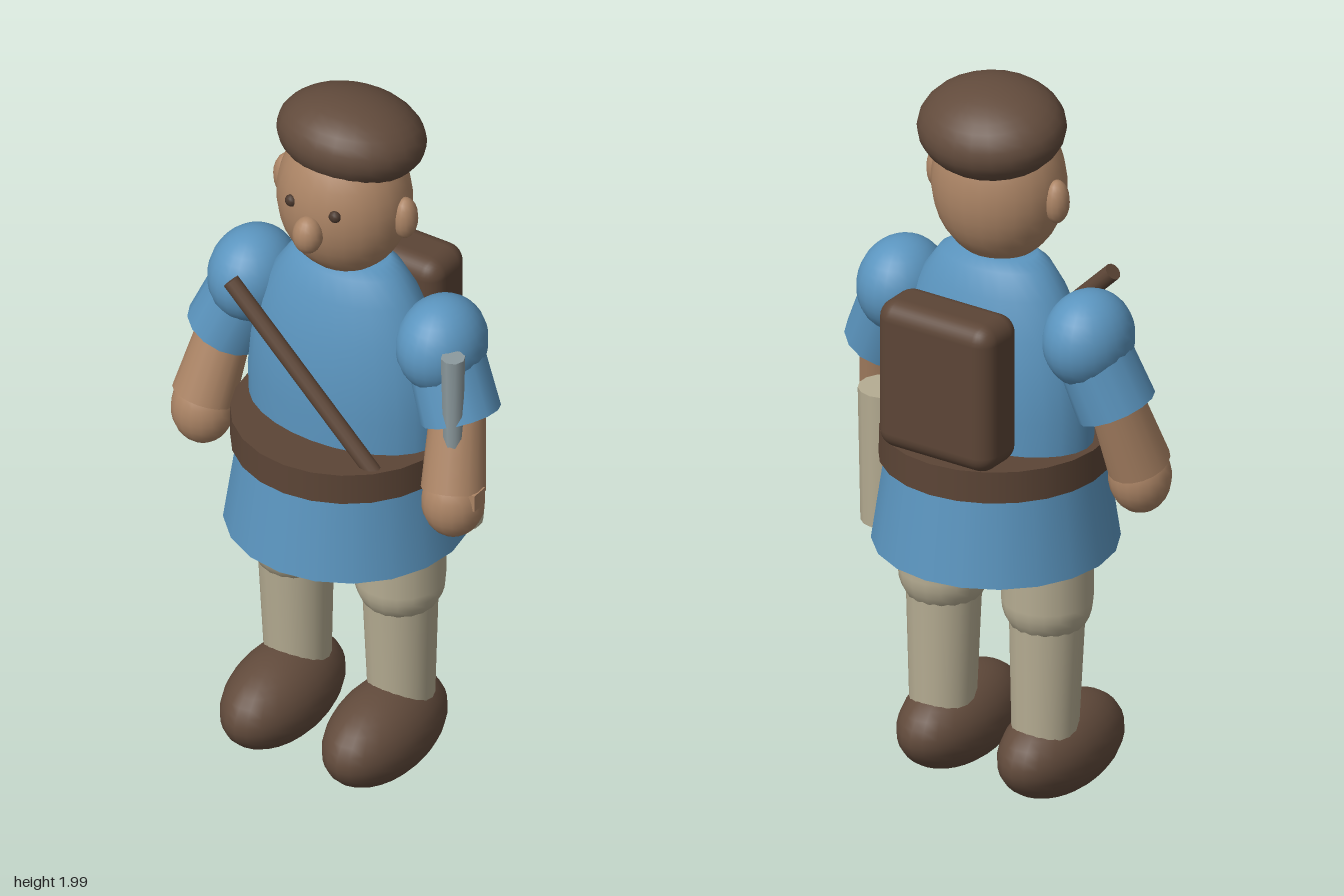
import * as THREE from 'three';
import { RoundedBoxGeometry } from 'three/addons/geometries/RoundedBoxGeometry.js';

const mat = (name, color, side = THREE.FrontSide) => {
  const m = new THREE.MeshStandardMaterial({ color, side });
  m.name = name;
  return m;
};

export function createModel() {
  const model = new THREE.Group();
  model.name = 'traveller';
  const blue = mat('blue cloth', 0x5b95bf, THREE.DoubleSide);
  const skin = mat('skin', 0xab8465);
  const brown = mat('brown felt', 0x624b3c);
  const leather = mat('leather', 0x5c4536);
  const cream = mat('cream linen', 0xb5ac92);
  const steel = mat('steel', 0x8c9a9e);
  const dark = mat('dark eyes', 0x4a382d);

  const add = (name, geo, material, x = 0, y = 0, z = 0) => {
    const mesh = new THREE.Mesh(geo, material);
    mesh.name = name;
    mesh.position.set(x, y, z);
    model.add(mesh);
    return mesh;
  };
  const ellipsoid = (name, material, [x, y, z], [rx, ry, rz], seg = 24) =>
    add(name, new THREE.SphereGeometry(1, seg, Math.ceil(seg * 0.67)).scale(rx, ry, rz), material, x, y, z);
  // Tapered cylinder between two points
  const limb = (name, material, a, b, ra, rb, seg = 18, open = false) => {
    const A = new THREE.Vector3(...a), B = new THREE.Vector3(...b);
    const dir = A.clone().sub(B);
    const mesh = add(name, new THREE.CylinderGeometry(ra, rb, dir.length(), seg, 1, open), material);
    mesh.position.copy(A).add(B).multiplyScalar(0.5);
    mesh.quaternion.setFromUnitVectors(new THREE.Vector3(0, 1, 0), dir.normalize());
    return mesh;
  };

  // Head and cap
  ellipsoid('head', skin, [0, 1.71, 0.015], [0.18, 0.215, 0.165]);
  ellipsoid('cap', brown, [0, 1.878, -0.018], [0.2, 0.118, 0.178]).rotation.x = -0.2;
  ellipsoid('nose', skin, [0, 1.68, 0.187], [0.04, 0.053, 0.04], 16);

  // Torso: an oval lathe with sloping shoulders
  const profile = [[0, 1.53], [0.12, 1.53], [0.16, 1.505], [0.205, 1.44], [0.25, 1.34],
    [0.275, 1.23], [0.285, 1.12], [0.28, 0.98]].reverse().map(([r, y]) => new THREE.Vector2(r, y));
  add('tunic', new THREE.LatheGeometry(profile, 28).scale(1, 1, 0.61), blue);
  add('tunicSkirt', new THREE.CylinderGeometry(0.285, 0.32, 0.24, 20), blue, 0, 0.825, 0);
  add('belt', new THREE.CylinderGeometry(0.302, 0.302, 0.088, 24), leather, 0, 0.985, 0);
  limb('shoulderStrap', leather, [-0.236, 1.445, 0.186], [0.205, 1.01, 0.186], 0.023, 0.023, 12);

  // Paired parts
  for (const [side, s] of [['left', 1], ['right', -1]]) {
    ellipsoid(side + 'Ear', skin, [s * 0.182, 1.7, 0.01], [0.033, 0.06, 0.036], 14);
    ellipsoid(side + 'Eye', dark, [s * 0.067, 1.747, 0.163], [0.017, 0.017, 0.014], 10);
    ellipsoid(side + 'Shoulder', blue, [s * 0.288, 1.345, 0], [0.114, 0.13, 0.132]);
    limb(side + 'Sleeve', blue, [s * 0.283, 1.35, -0.005], [s * 0.36, 1.16, 0.022], 0.1, 0.106, 14, true);
    limb(side + 'Forearm', skin, [s * 0.35, 1.2, 0.018], [s * 0.382, 0.98, 0.09], 0.07, 0.084);
    ellipsoid(side + 'Hand', skin, [s * 0.383, 0.943, 0.093], [0.083, 0.099, 0.081], 18);
    add(side + 'Thigh', new THREE.CapsuleGeometry(0.119, 0.18, 8, 18), cream, s * 0.16, 0.665, 0);
    limb(side + 'Shin', cream, [s * 0.16, 0.58, 0], [s * 0.158, 0.12, -0.01], 0.1, 0.084);
    ellipsoid(side + 'Shoe', brown, [s * 0.156, 0.133, 0.066], [0.125, 0.128, 0.226]);
  }

  // Dagger held upright in the left hand
  limb('daggerBlade', steel, [0.384, 1.39, 0.095], [0.384, 0.98, 0.095], 0.032, 0.022, 8);
  add('daggerGuard', new THREE.BoxGeometry(0.06, 0.048, 0.05), skin, 0.436, 0.978, 0.095);

  // Backpack and hip scroll case
  add('backpack', new RoundedBoxGeometry(0.355, 0.415, 0.16, 4, 0.05), leather, 0, 1.235, -0.22);
  add('scrollCase', new THREE.CylinderGeometry(0.072, 0.065, 0.375, 14), cream, 0.266, 0.913, -0.11);

  return model;
}
